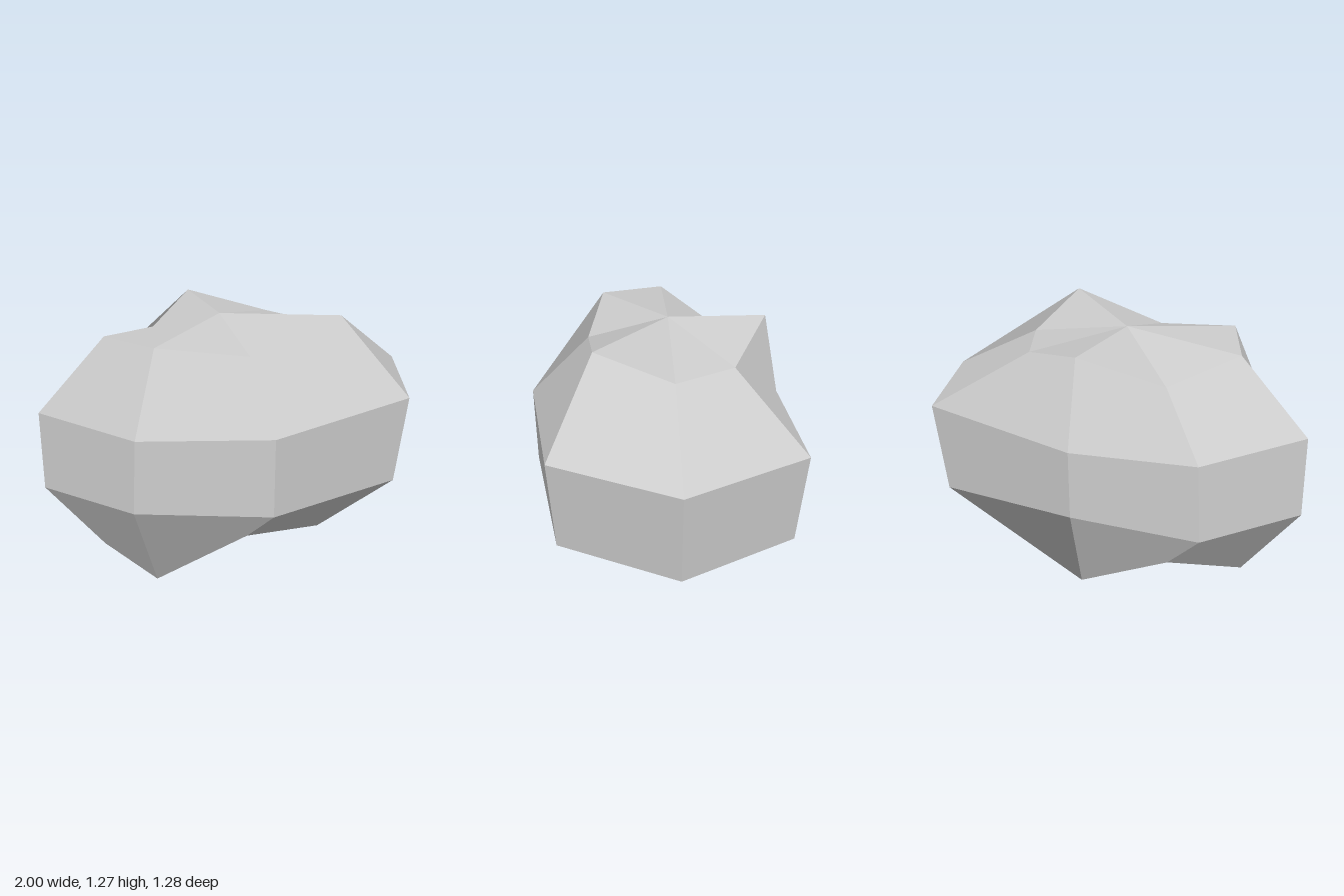
import * as THREE from 'three';

// Horizontal cross-sections of the boulder, top to bottom.
// Points run left, front-left, front, front-right, right, back-right, back, back-left as seen from the front.
const crown = [
  [-0.645, 1.19, -0.06], [-0.49, 1.215, 0.265], [-0.05, 1.14, 0.34], [0.44, 1.275, 0.305],
  [0.49, 1.135, -0.06], [0.335, 1.135, -0.35], [-0.05, 1.24, -0.55], [-0.385, 1.075, -0.315],
];
const shoulder = [
  [-0.99, 0.845, -0.06], [-0.63, 0.82, 0.37], [-0.05, 0.845, 0.64], [0.73, 0.88, 0.52],
  [1.0, 0.867, -0.06], [0.73, 0.88, -0.64], [-0.05, 0.81, -0.64], [-0.63, 0.815, -0.495],
];
const waist = [
  [-1.0, 0.435, -0.06], [-0.66, 0.455, 0.39], [-0.05, 0.44, 0.64], [0.695, 0.415, 0.5],
  [0.98, 0.418, -0.06], [0.7, 0.413, -0.615], [-0.05, 0.465, -0.64], [-0.66, 0.445, -0.52],
];
const foot = [
  [-0.72, 0.03, -0.06], [-0.54, 0, 0.31], [-0.05, 0.145, 0.32], [0.39, 0.075, 0.27],
  [0.41, 0.213, -0.06], [0.285, 0.213, -0.305], [-0.05, 0.042, -0.55], [-0.43, 0.15, -0.35],
];
const topPole = [-0.05, 1.24, -0.06];
const bottomPole = [-0.05, 0.04, -0.06];

// Skin neighbouring sections and close both poles; each facet has one normal across both its triangles.
function skin(sections, top, bottom) {
  const positions = [];
  const normals = [];
  const between = (a, b) => new THREE.Vector3(...b).sub(new THREE.Vector3(...a));
  const addFacet = (corners, normal) => {
    for (const corner of corners) {
      positions.push(...corner);
      normals.push(...normal.normalize().toArray());
    }
  };
  const triangle = (a, b, c) => addFacet([a, b, c], between(a, b).cross(between(a, c)));
  const quad = (a, b, c, d) => addFacet([a, b, d, b, c, d], between(a, c).cross(between(b, d)));

  const sides = sections[0].length;
  const last = sections[sections.length - 1];
  for (let i = 0; i < sides; i++) {
    const j = (i + 1) % sides;
    triangle(top, sections[0][i], sections[0][j]);
    for (let k = 0; k < sections.length - 1; k++) {
      const upper = sections[k], lower = sections[k + 1];
      quad(upper[j], upper[i], lower[i], lower[j]);
    }
    triangle(last[i], bottom, last[j]);
  }
  const geometry = new THREE.BufferGeometry();
  geometry.setAttribute('position', new THREE.Float32BufferAttribute(positions, 3));
  geometry.setAttribute('normal', new THREE.Float32BufferAttribute(normals, 3));
  return geometry;
}

export function createModel() {
  const stone = new THREE.MeshStandardMaterial({ color: 0xcbcbcb });
  stone.name = 'grey stone';

  const boulder = new THREE.Mesh(skin([crown, shoulder, waist, foot], topPole, bottomPole), stone);
  boulder.name = 'boulder';

  const model = new THREE.Group();
  model.name = 'rock';
  model.add(boulder);
  return model;
}
